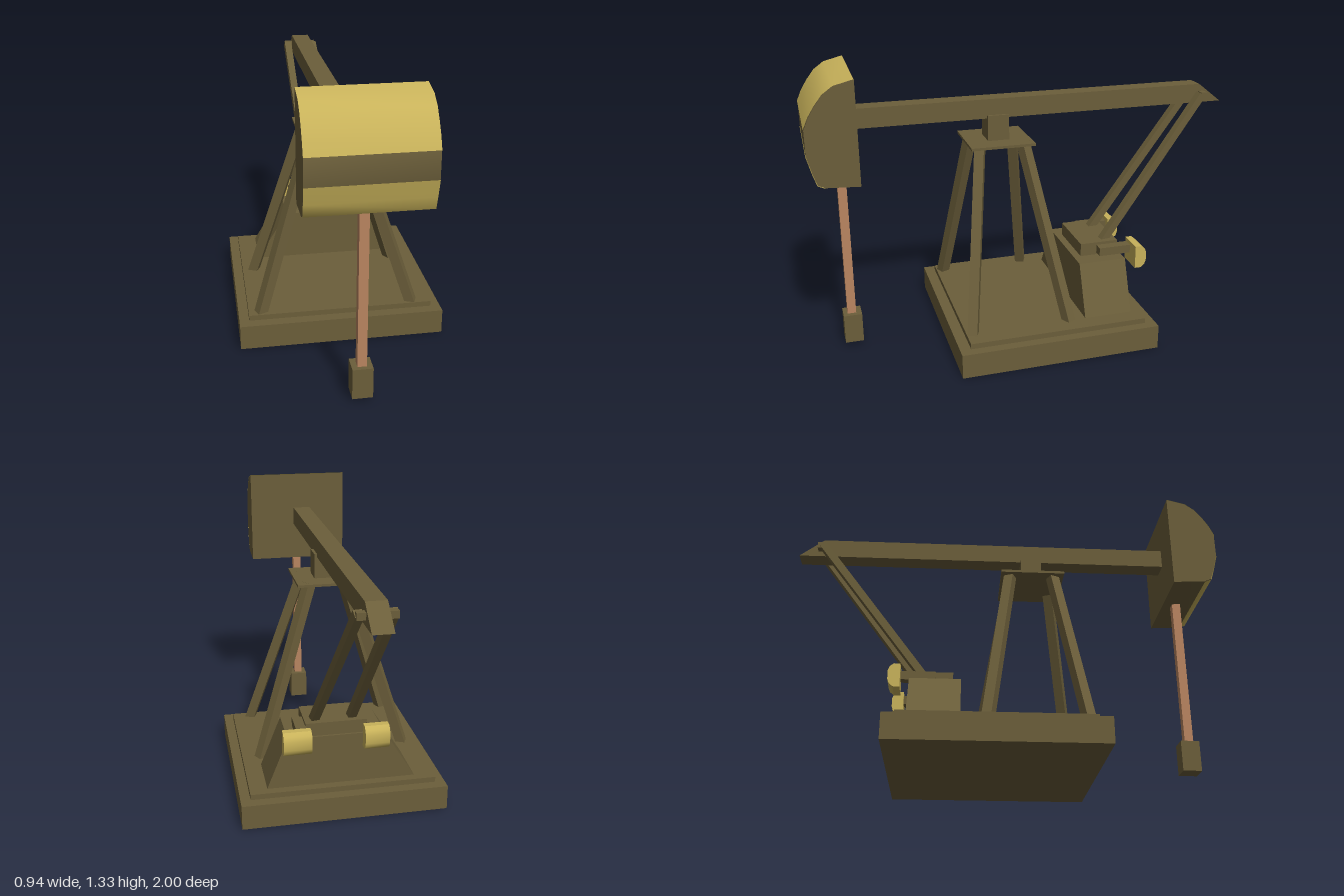
import * as THREE from 'three';
import { toCreasedNormals } from 'three/addons/utils/BufferGeometryUtils.js';

const olive = new THREE.MeshStandardMaterial({ color: 0x6b5e3a });
const yellow = new THREE.MeshStandardMaterial({ color: 0xc8b25a });
const copper = new THREE.MeshStandardMaterial({ color: 0xb98560 });
const yellowSkin = yellow.clone();
yellowSkin.side = THREE.DoubleSide;

export function createModel() {
  const model = new THREE.Group();
  model.name = 'pumpJack';

  const add = (name, geometry, material = olive) => {
    const mesh = new THREE.Mesh(geometry, material);
    mesh.name = name;
    model.add(mesh);
    return mesh;
  };

  // Box given by its extents on each axis
  const box = (name, [x0, x1], [y0, y1], [z0, z1], material) =>
    add(name, new THREE.BoxGeometry(x1 - x0, y1 - y0, z1 - z0), material)
      .position.set((x0 + x1) / 2, (y0 + y1) / 2, (z0 + z1) / 2);

  const shapeOf = (points) => new THREE.Shape(points.map(([a, b]) => new THREE.Vector2(a, b)));

  // Side profile of [z, y] points, extruded from x0 to x1
  const prism = (name, profile, x0, x1, material) => {
    const geometry = new THREE.ExtrudeGeometry(shapeOf(profile), { depth: x1 - x0, bevelEnabled: false });
    geometry.rotateY(-Math.PI / 2).translate(x1, 0, 0);
    add(name, toCreasedNormals(geometry, 0.6), material);
  };

  // Thin curved sheet following [z, y] points
  const sheet = (name, profile, x0, x1) => {
    const positions = [];
    const index = [];
    profile.forEach(([z, y], i) => {
      positions.push(x0, y, z, x1, y, z);
      if (i) index.push(2 * i - 2, 2 * i, 2 * i - 1, 2 * i - 1, 2 * i, 2 * i + 1);
    });
    const geometry = new THREE.BufferGeometry();
    geometry.setAttribute('position', new THREE.Float32BufferAttribute(positions, 3));
    geometry.setIndex(index);
    geometry.computeVertexNormals();
    add(name, geometry, yellowSkin);
  };

  // Square bar between two points
  const bar = (name, from, to, size) => {
    const a = new THREE.Vector3(...from);
    const b = new THREE.Vector3(...to);
    const mesh = add(name, new THREE.BoxGeometry(size, size, a.distanceTo(b)));
    mesh.position.copy(a).lerp(b, 0.5);
    mesh.lookAt(b);
  };

  // Stepped foundation
  box('foundation', [-0.47, 0.47], [0, 0.115], [-0.52, 0.42]);
  box('foundationStep', [-0.425, 0.425], [0.115, 0.14], [-0.47, 0.37]);

  // Support tower
  const legs = [
    ['frontRightLeg', [-0.37, 0.13, 0.337], [-0.12, 0.945, 0.228]],
    ['frontLeftLeg', [0.337, 0.13, 0.34], [0.07, 0.945, 0.228]],
    ['backRightLeg', [-0.37, 0.13, -0.087], [-0.12, 0.945, 0.025]],
    ['backLeftLeg', [0.337, 0.13, -0.122], [0.07, 0.945, 0.025]],
  ];
  for (const [name, foot, top] of legs) bar(name, foot, top, 0.045);
  box('towerPlate', [-0.17, 0.13], [0.94, 0.952], [-0.02, 0.28]);
  box('saddlePost', [-0.08, 0.035], [0.95, 1.07], [0.08, 0.18]);

  // Walking beam with a slanted tail
  prism('walkingBeam', [[-0.995, 1.055], [0.8, 1.055], [0.8, 1.145], [-0.88, 1.145]], -0.065, 0.022);

  // Curved head: solid core and two painted bands
  const lower = [[0.785, 0.868], [0.93, 0.876], [0.962, 0.89], [0.98, 0.945], [1, 1.02]];
  const upper = [[1, 1.13], [0.978, 1.18], [0.95, 1.225], [0.915, 1.27], [0.87, 1.303], [0.785, 1.325]];
  prism('head', [...lower, ...upper], -0.25, 0.25);
  const lift = ([z, y]) => [z + 0.002, y + Math.sign(y - 1.08) * 0.002];
  sheet('lowerHeadBand', lower.slice(1).map(lift), -0.25, 0.25);
  sheet('upperHeadBand', upper.map(lift), -0.25, 0.25);

  // Polished rod and wellhead block
  box('rod', [-0.02, 0.02], [0.15, 0.9], [0.83, 0.87], copper);
  box('wellhead', [-0.044, 0.044], [0.02, 0.16], [0.805, 0.89]);

  // Gearbox on a sloped pedestal
  const pedestal = shapeOf([[-0.335, 0.14], [0.345, 0.14], [0.25, 0.378], [-0.187, 0.378]]);
  add('gearPedestal', new THREE.ExtrudeGeometry(pedestal, { depth: 0.23, bevelEnabled: false })
    .translate(0, 0, -0.43));
  box('gearbox', [-0.11, 0.168], [0.375, 0.44], [-0.42, -0.235]);

  // Crank arms and rounded counterweights
  const weight = [[-0.47, 0.335], [-0.47, 0.445], [-0.5, 0.445], [-0.518, 0.43],
    [-0.525, 0.41], [-0.525, 0.37], [-0.518, 0.35], [-0.5, 0.335]];
  for (const [side, crank, span] of [
    ['right', [-0.147, -0.105], [-0.19, -0.08]],
    ['left', [0.165, 0.213], [0.155, 0.28]],
  ]) {
    box(side + 'Crank', crank, [0.387, 0.427], [-0.475, -0.315]);
    prism(side + 'Counterweight', weight, ...span, yellow);
  }

  // Pitman arms from gearbox to beam tail, joined by a pin
  bar('rightPitmanArm', [-0.047, 0.42, -0.355], [-0.09, 1.1, -0.88], 0.036);
  bar('leftPitmanArm', [0.123, 0.42, -0.355], [0.045, 1.1, -0.88], 0.036);
  box('tailPin', [-0.105, 0.058], [1.08, 1.11], [-0.905, -0.875]);

  return model;
}
